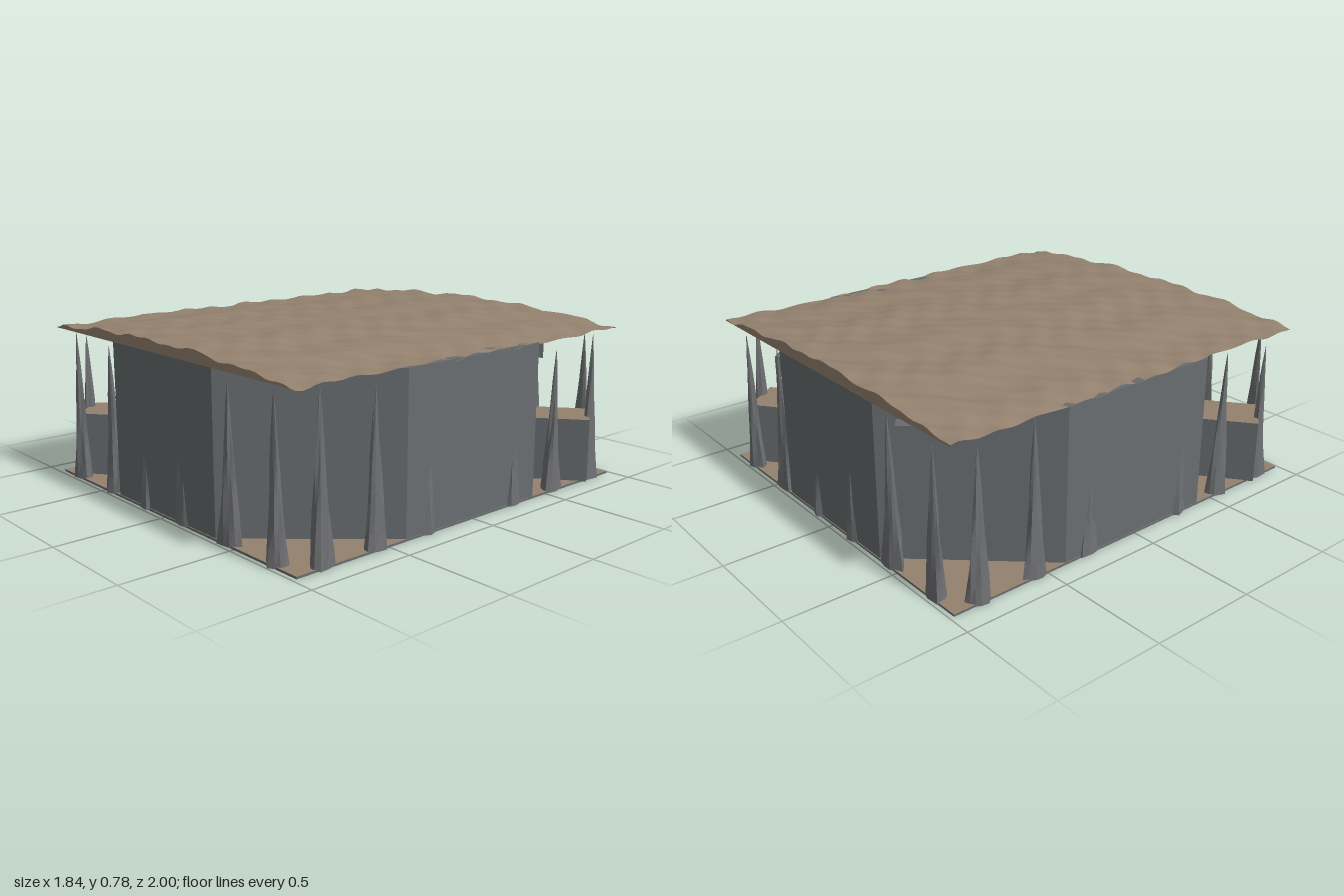
import * as THREE from 'three';

const mat = (name, color, extra = {}) => {
  const m = new THREE.MeshStandardMaterial({ color, ...extra });
  m.name = name;
  return m;
};

export function createModel() {
  const group = new THREE.Group();
  const wallGrey = mat('wall grey', 0x686d70);
  const rockGrey = mat('rock grey', 0x6f7073);
  const earth = mat('earth brown', 0x93816e, { side: THREE.DoubleSide });
  const black = mat('doorway black', 0x060606);

  const add = (name, geometry, material, parent = group) => {
    const mesh = new THREE.Mesh(geometry, material);
    mesh.name = name;
    parent.add(mesh);
    return mesh;
  };

  const HX = 0.89, HZ = 0.98, WALL_TOP = 0.715;

  // Thin ground slab: earth on top, stone elsewhere
  const slab = new THREE.BoxGeometry(HX * 2, 0.01, HZ * 2);
  add('floor', slab, [wallGrey, wallGrey, earth, wallGrey, wallGrey, wallGrey]).position.y = 0.005;

  // Eight-sided hall with cut corners
  const a = 0.372, b = 0.405, wx = HX - 0.002, wz = HZ - 0.004;
  const plan = new THREE.Shape([
    [a, -wz], [wx, -b], [wx, b], [a, wz], [-a, wz], [-wx, b], [-wx, -b], [-a, -wz],
  ].map(([x, z]) => new THREE.Vector2(x, z)));
  const hall = new THREE.ExtrudeGeometry(plan, { depth: WALL_TOP - 0.004, bevelEnabled: false });
  hall.rotateX(-Math.PI / 2);
  add('hallWalls', hall, wallGrey).position.y = 0.004;

  // Rough earth roof, gently arched from side to side
  const bump = (x, z) =>
    0.006 * Math.sin(17 * x + 9 * z + 2 * Math.sin(7 * z)) +
    0.005 * Math.sin(31 * z - 13 * x + 2 * Math.sin(11 * x)) +
    0.003 * Math.sin(43 * x + 37 * z);
  const roofY = (x, z) => 0.718 + 0.05 * (1 - (x / HX) ** 2) + bump(x, z);
  const roof = new THREE.PlaneGeometry(HX * 2, HZ * 2, 54, 60);
  roof.rotateX(-Math.PI / 2);
  const rp = roof.attributes.position;
  for (let i = 0; i < rp.count; i++) rp.setY(i, roofY(rp.getX(i), rp.getZ(i)));
  roof.computeVertexNormals();
  add('roof', roof, earth);

  // Gable strips closing the front and back of the arch
  for (const z of [HZ, -HZ]) {
    const strip = new THREE.PlaneGeometry(HX * 2, 1, 54, 1);
    const p = strip.attributes.position;
    for (let i = 0; i < p.count; i++) {
      const top = roofY(p.getX(i), z);
      p.setY(i, p.getY(i) > 0 ? top : Math.min(top, WALL_TOP));
    }
    if (z < 0) strip.rotateY(Math.PI);
    // The half turn mirrors x, so reset the top edge to follow the roof
    for (let i = 0; i < p.count; i++) {
      const top = roofY(p.getX(i), z);
      p.setY(i, i <= 54 ? top : Math.min(top, WALL_TOP));
    }
    strip.computeVertexNormals();
    add('gable', strip, earth).position.z = z;
  }

  // Low entrance passages at two opposite corners
  for (const turn of [0, Math.PI]) {
    const corner = new THREE.Group();
    corner.name = 'entrance';
    corner.rotation.y = turn;
    const passage = new THREE.Group();
    passage.name = 'passage';
    passage.position.set(-0.85, 0, 0.86);
    passage.rotation.y = Math.atan2(-0.79, 0.61);
    const box = new THREE.BoxGeometry(0.228, 0.3, 0.36);
    box.translate(0, 0.158, -0.18);
    add('passageBox', box, [wallGrey, wallGrey, earth, wallGrey, black, wallGrey], passage);
    corner.add(passage);
    group.add(corner);
  }

  // Small stone blocks high on the rear cut corners
  for (const side of [1, -1]) {
    const block = add('wallBlock', new THREE.BoxGeometry(0.2, 0.09, 0.1), wallGrey);
    block.position.set(side * 0.51, 0.6, -0.84);
    block.rotation.y = side * Math.atan2(wz - b, wx - a) * -1;
  }

  // Tapering, ridged rock spires
  const spire = (seed, height) => {
    const g = new THREE.CylinderGeometry(1, 1, 1, 11, 9).translate(0, 0.5, 0);
    const p = g.attributes.position;
    for (let i = 0; i < p.count; i++) {
      const t = p.getY(i), ang = Math.atan2(p.getZ(i), p.getX(i));
      const taper = Math.max(0.02, (1 - t) ** 0.75 * (0.8 + 0.25 * (1 - t) ** 3));
      const ridge = 1 + 0.13 * Math.sin(3 * ang + seed + 4 * t) + 0.09 * Math.sin(5 * ang - seed * 2 + 9 * t);
      const r = taper * ridge;
      p.setXYZ(i, p.getX(i) * r + 0.1 * t * Math.sin(seed * 3 + 2 * t), t * height, p.getZ(i) * r);
    }
    const flat = g.toNonIndexed();
    flat.computeVertexNormals();
    return flat;
  };
  let seed = 1;
  const placeSpire = (x, z, alongX, wide) => {
    const m = add('rockSpire', spire(seed, 0.68 + 0.025 * Math.sin(seed * 2.3)), rockGrey);
    seed += 1.7;
    m.position.set(x, 0.003, z);
    m.scale.set(wide, 1, 0.036);
    if (!alongX) m.rotation.y = Math.PI / 2;
  };
  for (const s of [1, -1]) {
    for (const x of [-0.74, -0.445, -0.16, 0.13, 0.445, 0.74])
      placeSpire(x, s * 0.955, true, Math.abs(x) < 0.5 && Math.abs(x) > 0.2 ? 0.06 : 0.05);
    for (const z of [-0.84, -0.56, -0.27, 0.28, 0.56, 0.84])
      placeSpire(s * 0.868, z, false, 0.052);
  }

  return group;
}
